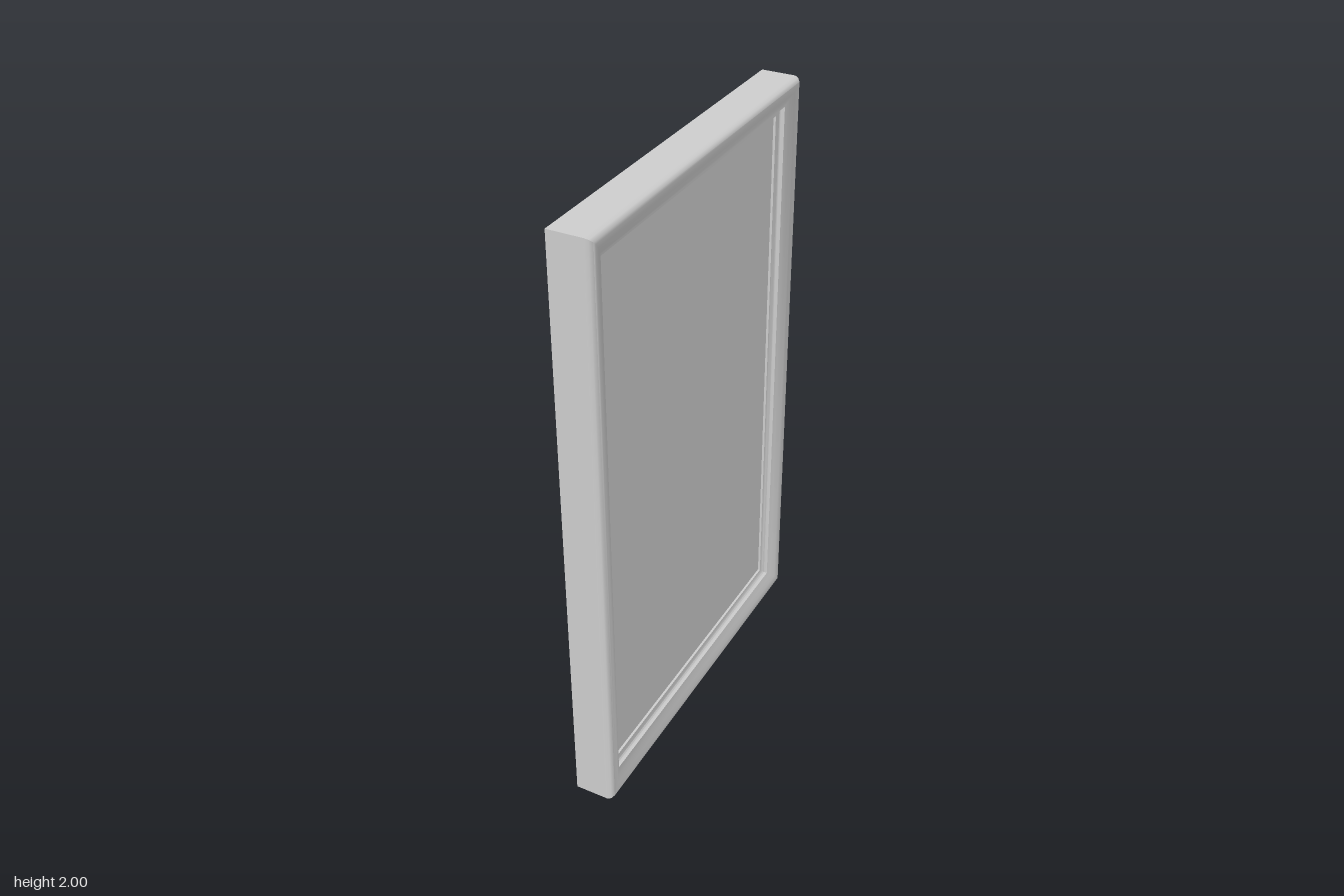
import * as THREE from 'three';
import { toCreasedNormals } from 'three/addons/utils/BufferGeometryUtils.js';

const HALF_WIDTH = 0.635, HEIGHT = 2, BACK = -0.0675;

// Sweeps a profile of [inset, x] points round a rectangle with mitred corners
function sweepFrame(profile) {
  const positions = [], index = [];
  for (const [inset, x] of profile) {
    const z = HALF_WIDTH - inset, low = inset, high = HEIGHT - inset;
    positions.push(x, low, z, x, low, -z, x, high, -z, x, high, z);
  }
  for (let i = 0; i < profile.length - 1; i++) {
    for (let k = 0; k < 4; k++) {
      const n = (k + 1) % 4;
      const a = i * 4 + k, b = i * 4 + n, c = b + 4, d = a + 4;
      index.push(a, b, c, a, c, d);
    }
  }
  const geometry = new THREE.BufferGeometry();
  geometry.setAttribute('position', new THREE.Float32BufferAttribute(positions, 3));
  geometry.setIndex(index);
  return toCreasedNormals(geometry, Math.PI / 3.2);
}

// Flat rectangle facing +x (side = 1) or -x (side = -1)
function flatPanel(inset, x, side) {
  const geometry = new THREE.PlaneGeometry(2 * (HALF_WIDTH - inset), HEIGHT - 2 * inset);
  geometry.rotateY(side * Math.PI / 2);
  geometry.translate(x, HEIGHT / 2, 0);
  return geometry;
}

export function createModel() {
  const group = new THREE.Group();
  const grey = new THREE.MeshStandardMaterial({ color: 0xcccccc });
  grey.name = 'light grey';

  const add = (name, geometry) => {
    const mesh = new THREE.Mesh(geometry, grey);
    mesh.name = name;
    group.add(mesh);
  };

  // Moulding: outer wall, rounded crest, inward slope
  add('frame', sweepFrame([
    [0, BACK], [0, 0.046], [0.004, 0.058], [0.013, 0.0665], [0.022, 0.0675],
    [0.04, 0.063], [0.056, 0.055], [0.075, 0.048],
  ]));

  // Stepped lip between the moulding and the panel
  add('innerLip', sweepFrame([
    [0.075, 0.048], [0.076, 0.036], [0.08, 0.032], [0.1, 0.03], [0.1, 0.022],
  ]));

  add('panel', flatPanel(0.1, 0.022, 1));
  add('backBoard', flatPanel(0, BACK, -1));
  return group;
}
